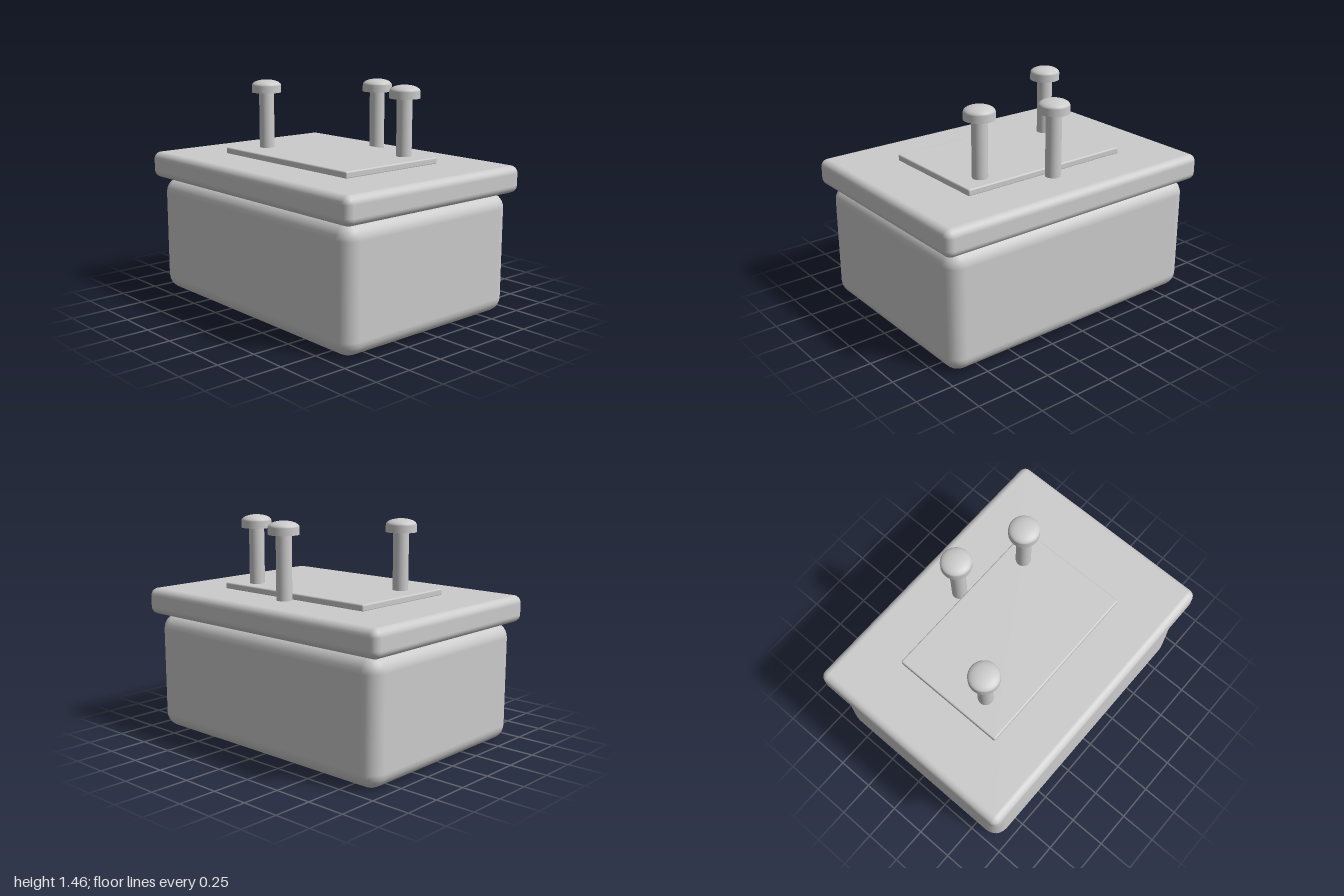
import * as THREE from 'three';
import { RoundedBoxGeometry } from 'three/addons/geometries/RoundedBoxGeometry.js';

export function createModel() {
  const model = new THREE.Group();
  model.name = 'boxWithPins';
  const grey = new THREE.MeshStandardMaterial({ color: 0xcccccc });
  grey.name = 'light grey';

  const add = (parent, name, geometry, x, y, z) => {
    const mesh = new THREE.Mesh(geometry, grey);
    mesh.name = name;
    mesh.position.set(x, y, z);
    parent.add(mesh);
  };

  // Soft-edged slab spanning the heights y0 to y1
  const slab = (name, width, y0, y1, depth, radius, segments) =>
    add(model, name, new RoundedBoxGeometry(width, y1 - y0, depth, segments, radius), 0, (y0 + y1) / 2, 0);

  slab('body', 1.91, 0, 0.785, 1.39, 0.1, 3);
  slab('lid', 2, 0.785, 0.96, 1.47, 0.05, 3);
  slab('topPlate', 1.212, 0.955, 1.0, 0.778, 0.01, 2);

  // Pins: shaft, flat collar and a shallow domed cap
  const shaft = new THREE.CylinderGeometry(0.05, 0.05, 0.43, 32);
  const collar = new THREE.CylinderGeometry(0.098, 0.098, 0.046, 32);
  const dome = new THREE.SphereGeometry(0.098, 32, 10, 0, Math.PI * 2, 0, Math.PI / 2);
  dome.scale(1, 0.039 / 0.098, 1);

  const pins = [['rightPin', -0.437, 0.17], ['backPin', 0, -0.437], ['leftPin', 0.432, -0.263]];
  for (const [name, x, z] of pins) {
    const pin = new THREE.Group();
    pin.name = name;
    pin.position.set(x, 0, z);
    add(pin, 'shaft', shaft, 0, 1.165, 0);
    add(pin, 'collar', collar, 0, 1.393, 0);
    add(pin, 'dome', dome, 0, 1.416, 0);
    model.add(pin);
  }
  return model;
}
